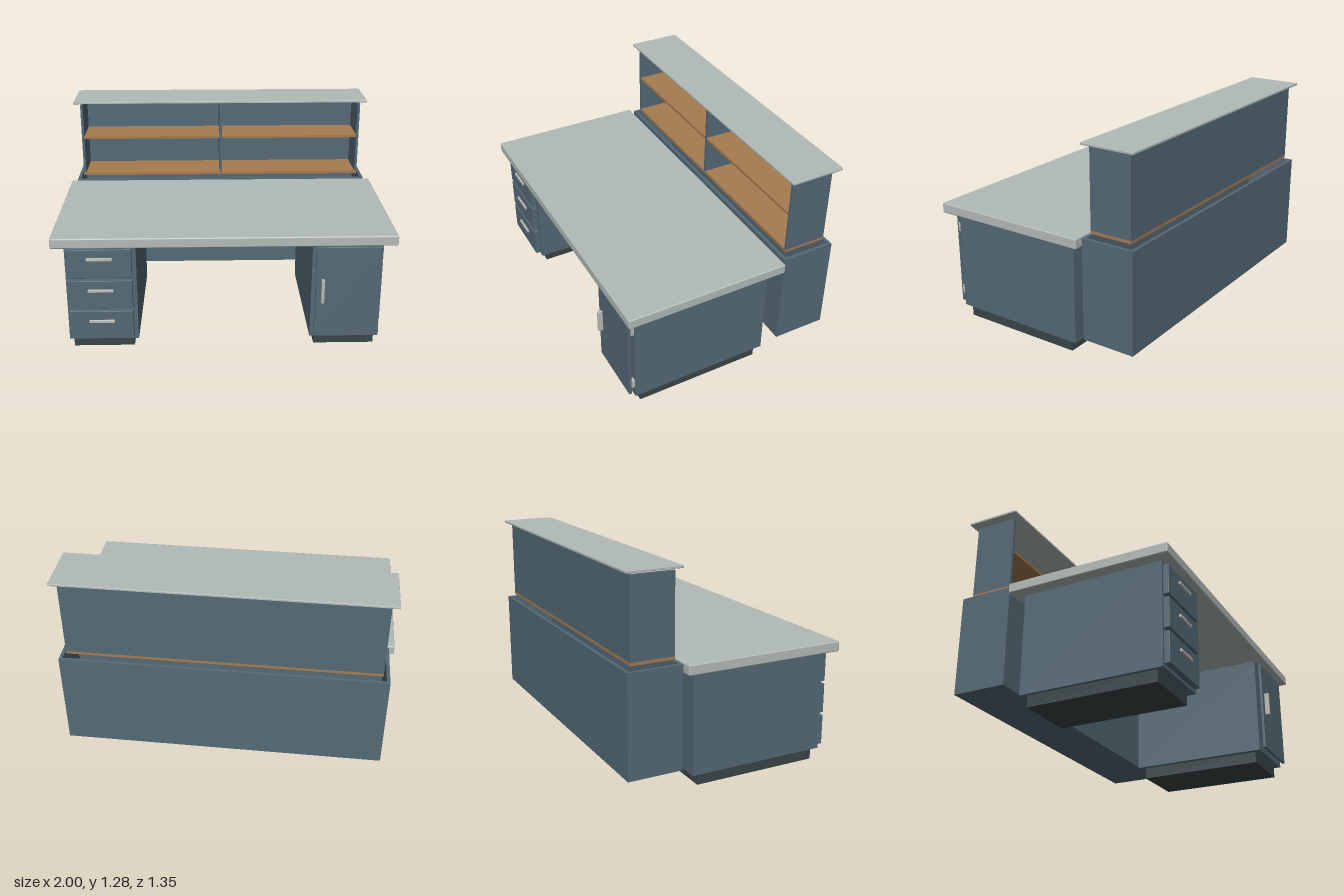
import * as THREE from 'three';
import { RoundedBoxGeometry } from 'three/addons/geometries/RoundedBoxGeometry.js';

const material = (name, color) => {
  const m = new THREE.MeshStandardMaterial({ color });
  m.name = name;
  return m;
};

export function createModel() {
  const slate = material('slate blue panel', 0x546975);
  const stone = material('pale grey top', 0xb2bbb8);
  const wood = material('warm wood', 0xa67c50);
  const dark = material('dark plinth', 0x3a4547);
  const metal = material('brushed metal', 0xb9bbb5);
  const model = new THREE.Group();
  model.name = 'receptionDesk';

  // Box given by its extents, optionally with softened edges
  const box = (parent, name, mat, [x0, x1], [y0, y1], [z0, z1], radius = 0) => {
    const size = [x1 - x0, y1 - y0, z1 - z0];
    const geo = radius ? new RoundedBoxGeometry(...size, 2, radius) : new THREE.BoxGeometry(...size);
    const mesh = new THREE.Mesh(geo, mat);
    mesh.name = name;
    mesh.position.set((x0 + x1) / 2, (y0 + y1) / 2, (z0 + z1) / 2);
    parent.add(mesh);
    return mesh;
  };
  const group = (name) => {
    const g = new THREE.Group();
    g.name = name;
    model.add(g);
    return g;
  };
  const span = (c, w) => [c - w / 2, c + w / 2];

  // Desk: worktop, two pedestals on plinths, apron between them
  const desk = group('desk');
  box(desk, 'worktop', stone, [-1, 1], [0.688, 0.75], [-0.325, 0.675], 0.008);
  for (const s of [-1, 1]) {
    box(desk, 'pedestal', slate, span(s * 0.7225, 0.415), [0.07, 0.688], [-0.255, 0.61]);
    box(desk, 'plinth', dark, span(s * 0.728, 0.365), [0, 0.07], [-0.215, 0.57]);
    box(desk, 'linkArm', slate, span(s * 0.75, 0.06), [0.588, 0.668], [-0.34, -0.255]);
  }
  box(desk, 'apron', slate, [-0.514, 0.514], [0.515, 0.68], [-0.25, -0.23]);

  // Three drawers with bar pulls
  const drawers = group('drawers');
  [[0.088, 0.272], [0.29, 0.47], [0.488, 0.668]].forEach(([y0, y1], i) => {
    box(drawers, 'drawerFront', slate, [-0.92, -0.54], [y0, y1], [0.61, 0.645], 0.003);
    const y = 0.207 + i * 0.201;
    box(drawers, 'drawerPull', metal, [-0.8, -0.65], span(y, 0.018), [0.645, 0.658], 0.003);
  });

  // Hinged door with an upright handle
  const door = group('door');
  box(door, 'doorPanel', slate, [0.535, 0.92], [0.088, 0.668], [0.627, 0.645], 0.003);
  box(door, 'doorHandle', metal, span(0.577, 0.018), [0.32, 0.468], [0.645, 0.675], 0.003);
  for (const y of [0.17, 0.585]) {
    box(door, 'hinge', metal, [0.9, 0.925], span(y, 0.055), [0.61, 0.63]);
  }

  // Open-topped front counter box
  const counter = group('counterBox');
  const t = 0.02;
  for (const s of [-1, 1]) {
    box(counter, 'counterSide', slate, span(s * (0.965 - t / 2), t), [0.138, 0.75], [-0.673, -0.342]);
  }
  const inner = [-0.965 + t, 0.965 - t];
  box(counter, 'counterInnerWall', slate, inner, [0.138, 0.75], [-0.342 - t, -0.342]);
  box(counter, 'counterOuterWall', slate, inner, [0.138, 0.75], [-0.673, -0.673 + t]);
  box(counter, 'counterFloor', slate, inner, [0.138, 0.138 + t], [-0.673 + t, -0.342 - t]);
  box(counter, 'centrePlate', slate, [-0.08, 0.08], [0.72, 0.732], [-0.342, -0.336]);

  // Shelf unit, open towards the desk
  const hutch = group('shelfUnit');
  box(hutch, 'bottomShelf', wood, [-0.925, 0.925], [0.77, 0.788], [-0.636, -0.372]);
  for (const s of [-1, 1]) {
    box(hutch, 'shelfSide', slate, span(s * 0.917, 0.016), [0.788, 1.255], [-0.636, -0.372]);
    box(hutch, 'middleShelf', wood, span(s * 0.458, 0.902), [1.024, 1.04], [-0.621, -0.374]);
  }
  box(hutch, 'shelfDivider', slate, [-0.008, 0.008], [0.788, 1.255], [-0.621, -0.372]);
  box(hutch, 'shelfBack', slate, [-0.909, 0.909], [0.788, 1.255], [-0.636, -0.621]);
  box(hutch, 'counterTop', stone, [-0.965, 0.965], [1.27, 1.284], [-0.675, -0.342], 0.003);

  return model;
}
